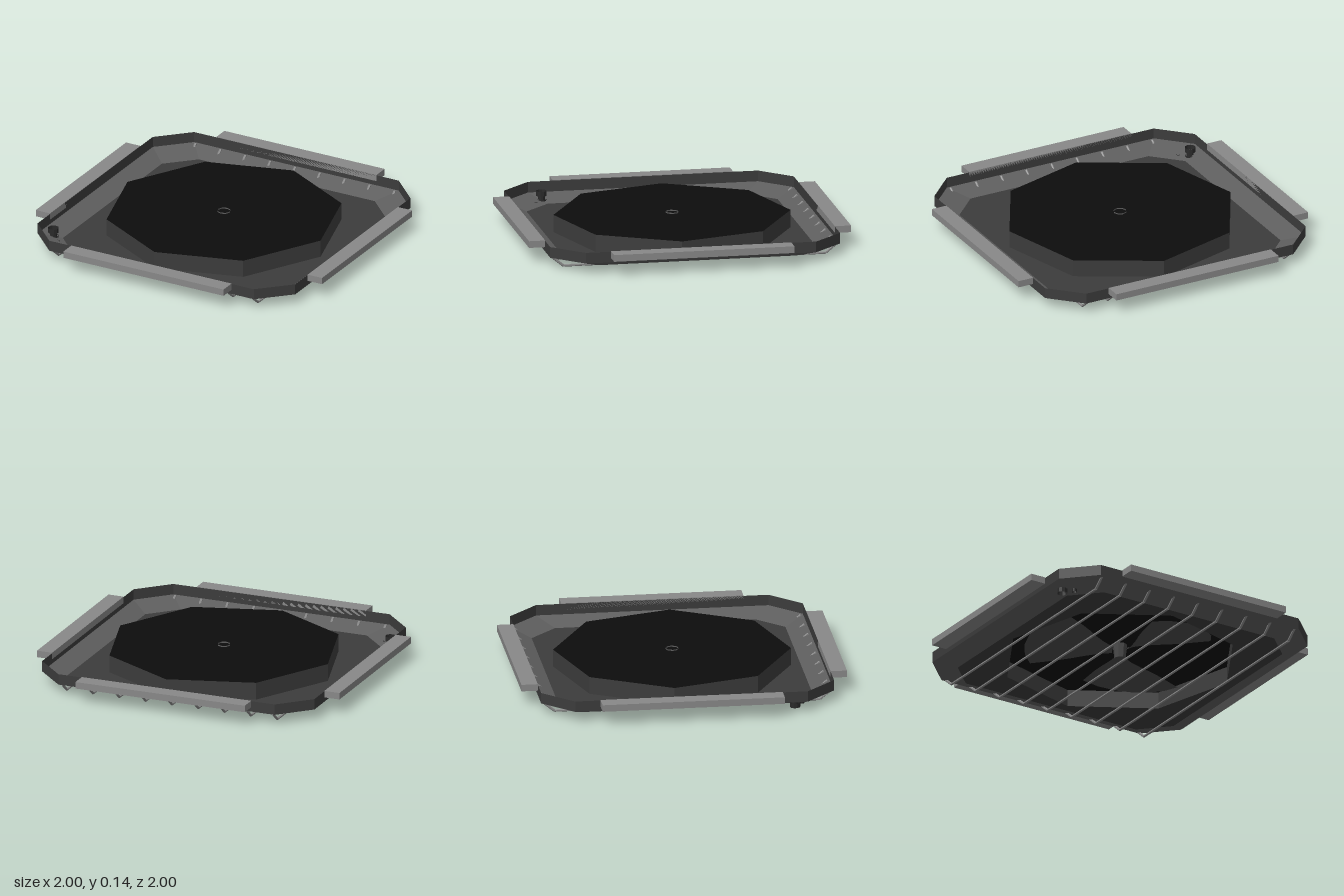
import * as THREE from 'three';

const mat = (name, color, extra = {}) => {
  const m = new THREE.MeshStandardMaterial({ color, flatShading: true, ...extra });
  m.name = name;
  return m;
};

// Square outline of half-width h with corners cut at c, as [x, z] pairs
const outline = (h, c) => [[h, c], [c, h], [-c, h], [-h, c], [-h, -c], [-c, -h], [c, -h], [h, -c]];

// Band joining a lower outline to an upper one
function band(lower, y0, upper, y1) {
  const pos = [];
  lower.forEach((p, i) => {
    const j = (i + 1) % lower.length;
    const a0 = [lower[i][0], y0, lower[i][1]], a1 = [lower[j][0], y0, lower[j][1]];
    const b0 = [upper[i][0], y1, upper[i][1]], b1 = [upper[j][0], y1, upper[j][1]];
    pos.push(...a0, ...b0, ...b1, ...a0, ...b1, ...a1);
  });
  const g = new THREE.BufferGeometry();
  g.setAttribute('position', new THREE.Float32BufferAttribute(pos, 3));
  g.computeVertexNormals();
  return g;
}

// Round bar between two points
function bar(a, b, r) {
  const d = new THREE.Vector3().subVectors(b, a);
  const g = new THREE.CylinderGeometry(r, r, d.length(), 6);
  g.applyQuaternion(new THREE.Quaternion().setFromUnitVectors(new THREE.Vector3(0, 1, 0), d.normalize()));
  g.translate((a.x + b.x) / 2, (a.y + b.y) / 2, (a.z + b.z) / 2);
  return g;
}

export function createModel() {
  const both = { side: THREE.DoubleSide };
  const dark = mat('dark grey', 0x3c3c3c, both);
  const mid = mat('mid grey', 0x5e5e5e, both);
  const light = mat('light grey', 0x888888);
  const black = mat('black', 0x0d0d0d, both);
  const bladeMat = mat('blade grey', 0x4a4a4a, both);
  const knobMat = mat('knob grey', 0x2a2a2a, both);

  const model = new THREE.Group();
  const add = (name, geo, material, parent = model) => {
    const m = new THREE.Mesh(geo, material);
    m.name = name;
    parent.add(m);
    return m;
  };

  // Tray: upright rim, sloping sides and floor with the drum opening
  const rim = outline(0.9, 0.715), base = outline(0.78, 0.615);
  add('trayRim', band(rim, 0.065, rim, 0.132), dark);
  add('traySlope', band(base, 0.02, rim, 0.065), mid);

  const R = 0.725, start = -0.112;
  const drumPts = Array.from({ length: 8 }, (_, i) => {
    const t = start + i * Math.PI / 4;
    return new THREE.Vector2(R * Math.sin(t), -R * Math.cos(t));
  });
  const floor = new THREE.Shape(base.map(([x, z]) => new THREE.Vector2(x, -z)));
  floor.holes.push(new THREE.Path(drumPts));
  add('trayFloor', new THREE.ShapeGeometry(floor).rotateX(-Math.PI / 2).translate(0, 0.02, 0), dark);

  // Eight-sided drum with a black lid
  add('drumWall', new THREE.CylinderGeometry(R, R, 0.108, 8, 1, true, start).translate(0, 0.074, 0), dark);
  add('drumLid', new THREE.ShapeGeometry(new THREE.Shape(drumPts)).rotateX(-Math.PI / 2).translate(0, 0.128, 0), black);

  // Mounting flanges on the four sides
  for (let i = 0; i < 4; i++) {
    const f = add('mountingFlange', new THREE.BoxGeometry(1.12, 0.042, 0.1), light);
    f.position.set(Math.sin(i * Math.PI / 2) * 0.95, 0.114, Math.cos(i * Math.PI / 2) * 0.95);
    f.rotation.y = i * Math.PI / 2;
  }

  // Fan: three pitched paddle blades around a hub
  const fan = new THREE.Group();
  fan.name = 'fan';
  model.add(fan);
  const blade = new THREE.PlaneGeometry(1, 1, 6, 6);
  const p = blade.attributes.position;
  for (let i = 0; i < p.count; i++) {
    const u = p.getX(i) + 0.5, v = p.getY(i);
    const r = 0.05 + u * (0.55 - 0.18 * v * v);
    const spread = 0.55 + 0.55 * Math.sin(Math.min(1, u * 1.5) * Math.PI / 2);
    const a = v * spread;
    p.setXYZ(i, r * Math.cos(a), 0.085 - v * (0.03 + 0.052 * u), r * Math.sin(a));
  }
  blade.computeVertexNormals();
  for (let i = 0; i < 3; i++) {
    add('fanBlade', blade, bladeMat, fan).rotation.y = 0.87 + i * Math.PI * 2 / 3;
  }
  add('fanHub', new THREE.CylinderGeometry(0.045, 0.035, 0.09, 8).translate(0, 0.08, 0), bladeMat, fan);
  add('shaftRing', new THREE.CylinderGeometry(0.04, 0.04, 0.012, 8, 1, true).translate(0, 0.129, 0), mid, fan);

  // Guard wires bent under the tray
  const guard = new THREE.Group();
  guard.name = 'guard';
  model.add(guard);
  for (let i = -4; i <= 4; i++) {
    const x = i * 0.174;
    const pts = [[0.065, 0.885], [0.008, 0.815], [0.008, -0.815], [0.065, -0.885]]
      .map(([y, z]) => new THREE.Vector3(x, y, z));
    for (let k = 0; k < 3; k++) add('guardWire', bar(pts[k], pts[k + 1], 0.008), light, guard);
  }

  // Control knob on one corner: wide collar, narrow stem and a small side stub
  const tube = (r, h, x, y, z) => new THREE.CylinderGeometry(r, r, h, 10, 1, true).translate(x, y, z);
  add('knobCollar', tube(0.033, 0.03, -0.83, 0.075, 0.645), knobMat);
  add('knobStem', tube(0.022, 0.04, -0.83, 0.045, 0.645), knobMat);
  add('knobFoot', tube(0.032, 0.028, -0.83, 0.026, 0.645), knobMat);
  add('knobStub', tube(0.015, 0.02, -0.775, 0.025, 0.695), knobMat);

  return model;
}
